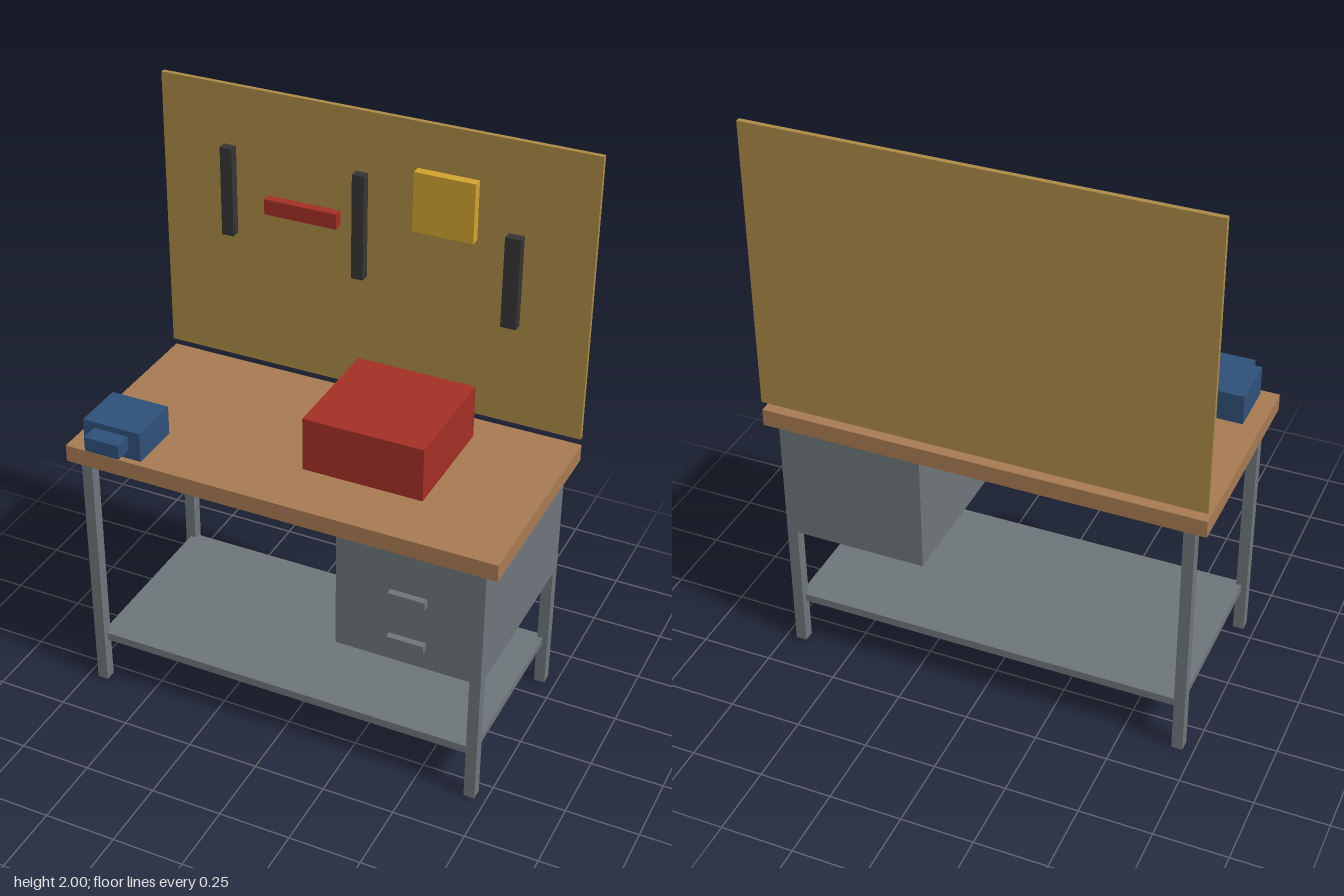
import * as THREE from 'three';

const material = (name, color) => {
  const m = new THREE.MeshStandardMaterial({ color });
  m.name = name;
  return m;
};

export function createModel() {
  const steel = material('grey steel', 0x6e757a);
  const wood = material('bench wood', 0xa87b52);
  const panel = material('pegboard tan', 0xab8a46);
  const red = material('tool red', 0xa32f25);
  const blue = material('vise blue', 0x2f5079);
  const yellow = material('tool yellow', 0xd1a32f);
  const black = material('tool black', 0x353535);

  const model = new THREE.Group();
  model.name = 'workbench';

  // Box given by its lower and upper limits on each axis
  const box = (name, mat, [x0, x1], [y0, y1], [z0, z1], parent = model) => {
    const mesh = new THREE.Mesh(new THREE.BoxGeometry(x1 - x0, y1 - y0, z1 - z0), mat);
    mesh.position.set((x0 + x1) / 2, (y0 + y1) / 2, (z0 + z1) / 2);
    mesh.name = name;
    parent.add(mesh);
    return mesh;
  };

  // Worktop, legs and lower shelf
  box('worktop', wood, [-0.756, 0.756], [0.91, 0.97], [-0.388, 0.347]);
  for (const x of [-0.694, 0.694]) {
    for (const z of [-0.345, 0.306]) {
      box('leg', steel, [x - 0.019, x + 0.019], [0, 0.91], [z - 0.02, z + 0.02]);
    }
  }
  box('shelf', steel, [-0.694, 0.694], [0.163, 0.192], [-0.345, 0.306]);

  // Drawer cabinet with two pulls
  const cabinet = new THREE.Group();
  cabinet.name = 'drawerCabinet';
  model.add(cabinet);
  box('cabinetBody', steel, [0.21, 0.713], [0.477, 0.91], [-0.365, 0.326], cabinet);
  for (const y of [0.565, 0.737]) {
    box('drawerPull', steel, [0.397, 0.524], [y - 0.015, y + 0.015], [0.326, 0.349], cabinet);
  }

  // Toolbox and vise on the worktop
  box('toolbox', red, [0, 0.418], [0.97, 1.16], [-0.284, 0.135]);
  const vise = new THREE.Group();
  vise.name = 'vise';
  model.add(vise);
  box('viseBody', blue, [-0.696, -0.487], [0.97, 1.075], [0.138, 0.325], vise);
  box('viseJaw', blue, [-0.655, -0.53], [1.003, 1.054], [0.325, 0.388], vise);

  // Tool panel with hanging tools
  box('toolPanel', panel, [-0.756, 0.756], [1.0, 2.0], [-0.388, -0.371]);
  const tools = new THREE.Group();
  tools.name = 'hangingTools';
  model.add(tools);
  const hang = (name, mat, xs, ys) => box(name, mat, xs, ys, [-0.371, -0.338], tools);
  hang('leftTool', black, [-0.53, -0.487], [1.475, 1.79]);
  hang('levelTool', red, [-0.37, -0.11], [1.583, 1.637]);
  hang('middleTool', black, [-0.055, -0.013], [1.42, 1.79]);
  hang('squareTool', yellow, [0.157, 0.366], [1.637, 1.843]);
  hang('rightTool', black, [0.47, 0.523], [1.367, 1.685]);

  return model;
}
